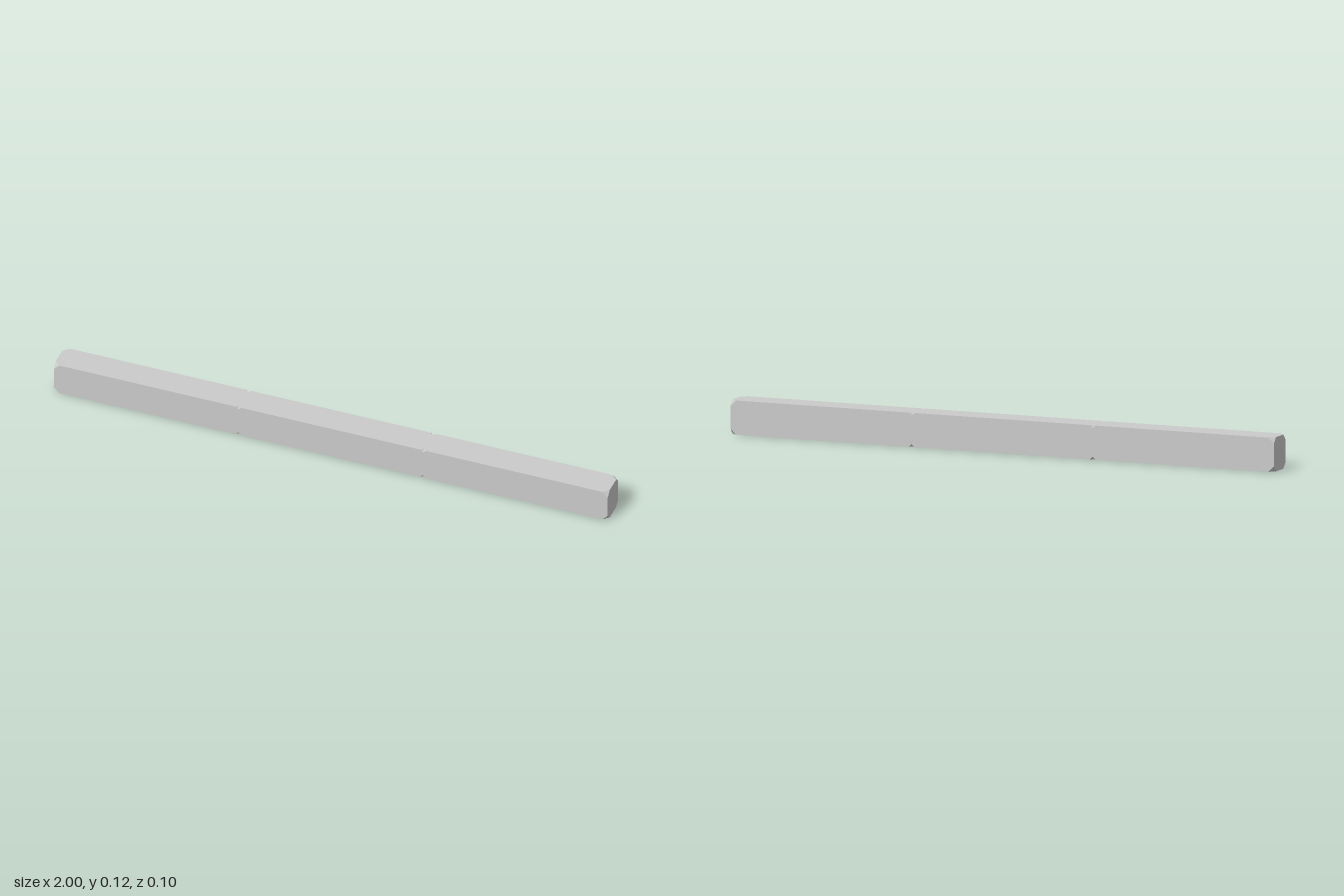
import * as THREE from 'three';
import { ConvexGeometry } from 'three/addons/geometries/ConvexGeometry.js';

const HEIGHT = 0.117, DEPTH = 0.1, CUT = 0.02;

// Box whose eight corners are cut off by small triangles
function cutCornerBox(width, height, depth, cut) {
  const points = [];
  const half = [width / 2, height / 2, depth / 2];
  for (const sx of [-1, 1]) for (const sy of [-1, 1]) for (const sz of [-1, 1]) {
    const sign = [sx, sy, sz];
    for (let axis = 0; axis < 3; axis++) {
      points.push(new THREE.Vector3(
        ...half.map((h, i) => sign[i] * (h - (i === axis ? cut : 0)))
      ));
    }
  }
  return new ConvexGeometry(points);
}

export function createModel() {
  const model = new THREE.Group();
  model.name = 'segmentedBeam';
  const material = new THREE.MeshStandardMaterial({ color: 0xcccccc, flatShading: true });

  // Three beam blocks in a row, slightly overlapping at the joints
  const blocks = [
    ['rightBlock', -1, -0.323],
    ['middleBlock', -0.343, 0.343],
    ['leftBlock', 0.323, 1],
  ];
  for (const [name, start, end] of blocks) {
    const block = new THREE.Mesh(cutCornerBox(end - start, HEIGHT, DEPTH, CUT), material);
    block.name = name;
    block.position.set((start + end) / 2, HEIGHT / 2, 0);
    model.add(block);
  }
  return model;
}
